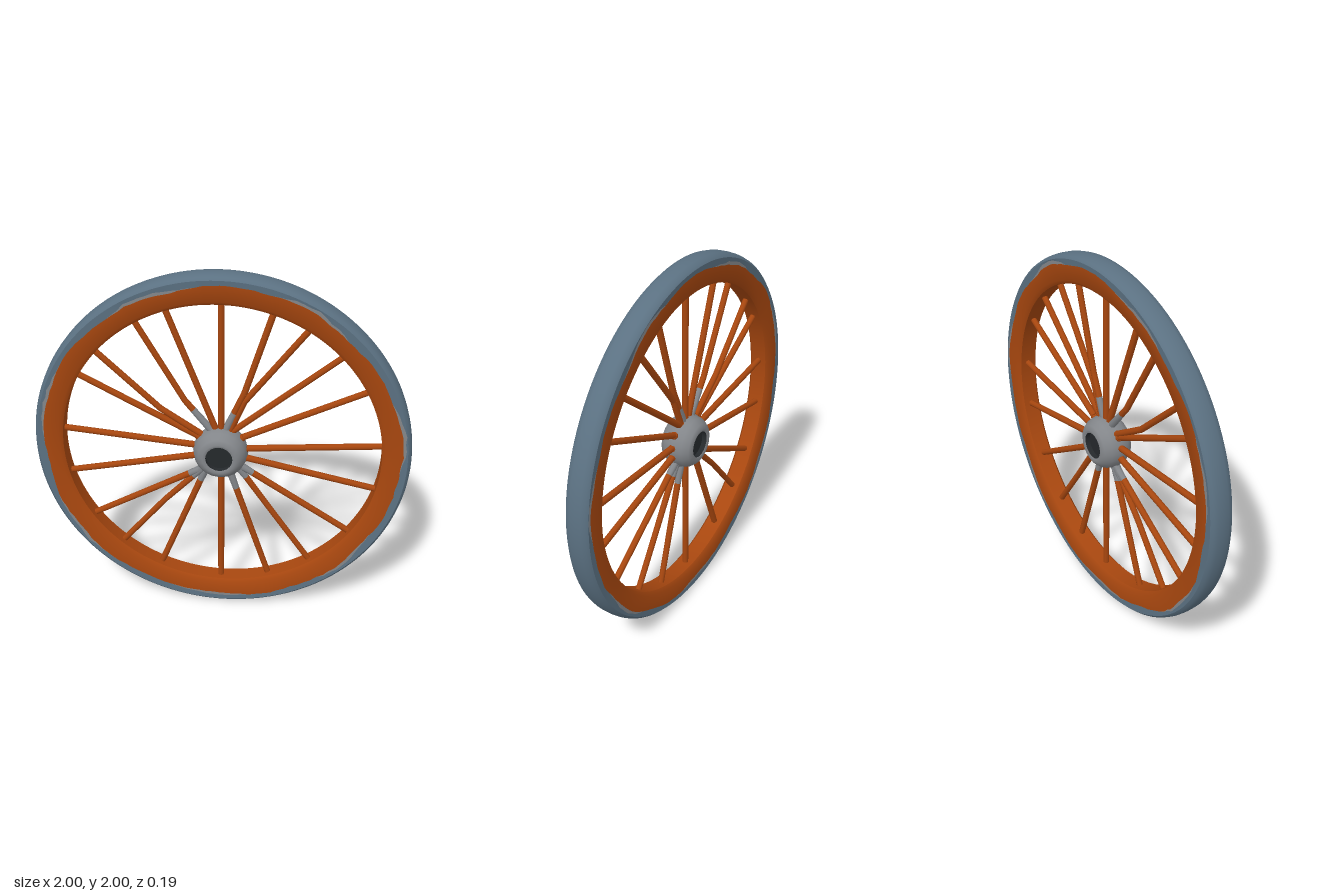
import * as THREE from 'three';
import { toCreasedNormals } from 'three/addons/utils/BufferGeometryUtils.js';

const mat = (name, color, side = THREE.FrontSide) => {
  const m = new THREE.MeshStandardMaterial({ color, side });
  m.name = name;
  return m;
};

export function createModel() {
  const wood = mat('orange paint', 0xa8470f);
  const tyreMat = mat('blue grey tyre', 0x5b7182);
  const metal = mat('bare grey', 0x83868a);
  const dark = mat('dark bore', 0x25292c, THREE.DoubleSide);

  const group = new THREE.Group();
  const wheel = new THREE.Group();
  wheel.name = 'wheel';
  wheel.position.y = 1;
  group.add(wheel);

  const add = (name, geo, material, parent = wheel) => {
    const m = new THREE.Mesh(geo, material);
    m.name = name;
    parent.add(m);
    return m;
  };

  // seeded noise for the worn paint edge
  let seed = 7;
  const rand = () => (seed = (seed * 16807) % 2147483647) / 2147483647;
  const N = 144;
  const worn = () => Array.from({ length: N }, (_, i) => {
    const t = (i / N) * Math.PI * 2;
    return 0.945 + 0.006 * Math.sin(5 * t + 1) + 0.005 * Math.sin(13 * t) + 0.007 * (rand() - 0.5);
  });
  const chips = () => Array.from({ length: N }, (_, i) => {
    const t = (i / N) * Math.PI * 2;
    return Math.max(0, 0.016 * Math.sin(7 * t + 0.4) + 0.008 * (rand() - 0.4));
  });
  const edgeF = worn(), edgeB = worn(), chipF = chips(), chipB = chips();

  // ring swept about z; section(i) gives [radius, z] points for step i
  const ring = (section) => {
    const pos = [], idx = [], n = section(0).length;
    for (let i = 0; i < N; i++) {
      const t = (i / N) * Math.PI * 2;
      for (const [r, z] of section(i)) pos.push(r * Math.cos(t), r * Math.sin(t), z);
      for (let j = 0; j < n - 1; j++) {
        const a = i * n + j, d = ((i + 1) % N) * n + j;
        idx.push(a, a + 1, d + 1, a, d + 1, d);
      }
    }
    const g = new THREE.BufferGeometry();
    g.setAttribute('position', new THREE.Float32BufferAttribute(pos, 3));
    g.setIndex(idx);
    return toCreasedNormals(g, 0.7);
  };

  // felloe, worn patches and tyre
  const Z = 0.062;
  add('felloe', ring((i) => [[edgeB[i], -Z], [0.865, -Z + 0.002], [0.846, -0.045],
    [0.846, 0.045], [0.865, Z - 0.002], [edgeF[i], Z]]), wood);
  add('wornPaintFront', ring((i) => [[edgeF[i], Z], [edgeF[i] + chipF[i], Z]]), metal);
  add('wornPaintBack', ring((i) => [[edgeB[i] + chipB[i], -Z], [edgeB[i], -Z]]), metal);
  add('tyre', ring((i) => [[edgeF[i] + chipF[i], Z], [0.978, Z + 0.002], [0.991, 0.052], [0.998, 0.03],
    [1, 0], [0.998, -0.03], [0.991, -0.052], [0.978, -Z - 0.002], [edgeB[i] + chipB[i], -Z]]), tyreMat);

  // spokes: outer end, optional bend, inner end, bare length at the root
  const rod = (name, a, b, r0, r1, material) => {
    const dir = b.clone().sub(a);
    const m = add(name, new THREE.CylinderGeometry(r1, r0, dir.length(), 8), material);
    m.position.copy(a).add(b).multiplyScalar(0.5);
    m.quaternion.setFromUnitVectors(new THREE.Vector3(0, 1, 0), dir.normalize());
  };
  const spokes = [
    [[0, 0.85], [0, 0.1], 0], [[0.26, 0.8], [0.12, 0.34], [0.03, 0.13], 0.1],
    [[0.44, 0.71], [0.12, 0.29], [0.05, 0.12], 0], [[0.61, 0.57], [0.06, 0.11], 0],
    [[0.75, 0.385], [0.12, 0.08], 0], [[0.83, 0.07], [0.14, 0.01], 0],
    [[0.81, -0.19], [0.14, -0.05], 0], [[0.7, -0.48], [0.12, -0.11], 0.06],
    [[0.475, -0.67], [0.29, -0.4], [0.1, -0.12], 0.06], [[0.26, -0.79], [0.05, -0.15], 0.1],
    [[0, -0.84], [0, -0.15], 0], [[-0.33, -0.76], [-0.09, -0.15], 0.06],
    [[-0.55, -0.64], [-0.31, -0.35], [-0.11, -0.14], 0.06], [[-0.7, -0.46], [-0.12, -0.14], 0.06],
    [[-0.82, -0.19], [-0.14, -0.05], 0], [[-0.83, 0.075], [-0.14, 0.015], 0],
    [[-0.745, 0.4], [-0.13, 0.075], 0], [[-0.64, 0.535], [-0.32, 0.225], [-0.11, 0.085], 0],
    [[-0.445, 0.73], [-0.19, 0.28], [-0.06, 0.12], 0.14], [[-0.285, 0.8], [-0.03, 0.12], 0],
  ];
  for (const s of spokes) {
    const bare = s[s.length - 1];
    const pts = s.slice(0, -1).map(([x, y]) => new THREE.Vector3(x, y, 0));
    pts[0].multiplyScalar(0.875 / pts[0].length());
    const end = pts[pts.length - 1];
    for (let k = 0; k < pts.length - 2; k++) rod('spoke', pts[k], pts[k + 1], 0.017, 0.017, wood);
    const start = pts[pts.length - 2];
    const split = end.clone().add(start.clone().sub(end).setLength(bare));
    rod('spoke', start, split, 0.017, 0.018, wood);
    if (bare) rod('spokeRoot', split, end, 0.018, 0.021, metal);
    // short tail into the hub
    rod('spokeTail', end, new THREE.Vector3(end.x * 0.7, end.y * 0.7 - 0.005, 0), 0.02, 0.022, bare ? metal : wood);
  }

  // hub shell with a recessed dark bore on both ends
  const hub = new THREE.Group();
  hub.name = 'hub';
  hub.position.set(-0.003, -0.015, 0);
  wheel.add(hub);
  const profile = [[0.072, -0.088], [0.088, -0.095], [0.112, -0.082], [0.136, -0.05], [0.148, 0],
    [0.136, 0.05], [0.112, 0.082], [0.088, 0.095], [0.072, 0.088]].map(([r, z]) => new THREE.Vector2(r, z));
  add('hubShell', new THREE.LatheGeometry(profile, 20), metal, hub).rotation.x = Math.PI / 2;
  add('hubBore', new THREE.CylinderGeometry(0.073, 0.073, 0.176, 20, 1, true), dark, hub).rotation.x = Math.PI / 2;
  for (const s of [1, -1]) add('boreEnd', new THREE.CircleGeometry(0.073, 20), dark, hub).position.z = s * 0.06;

  return group;
}
